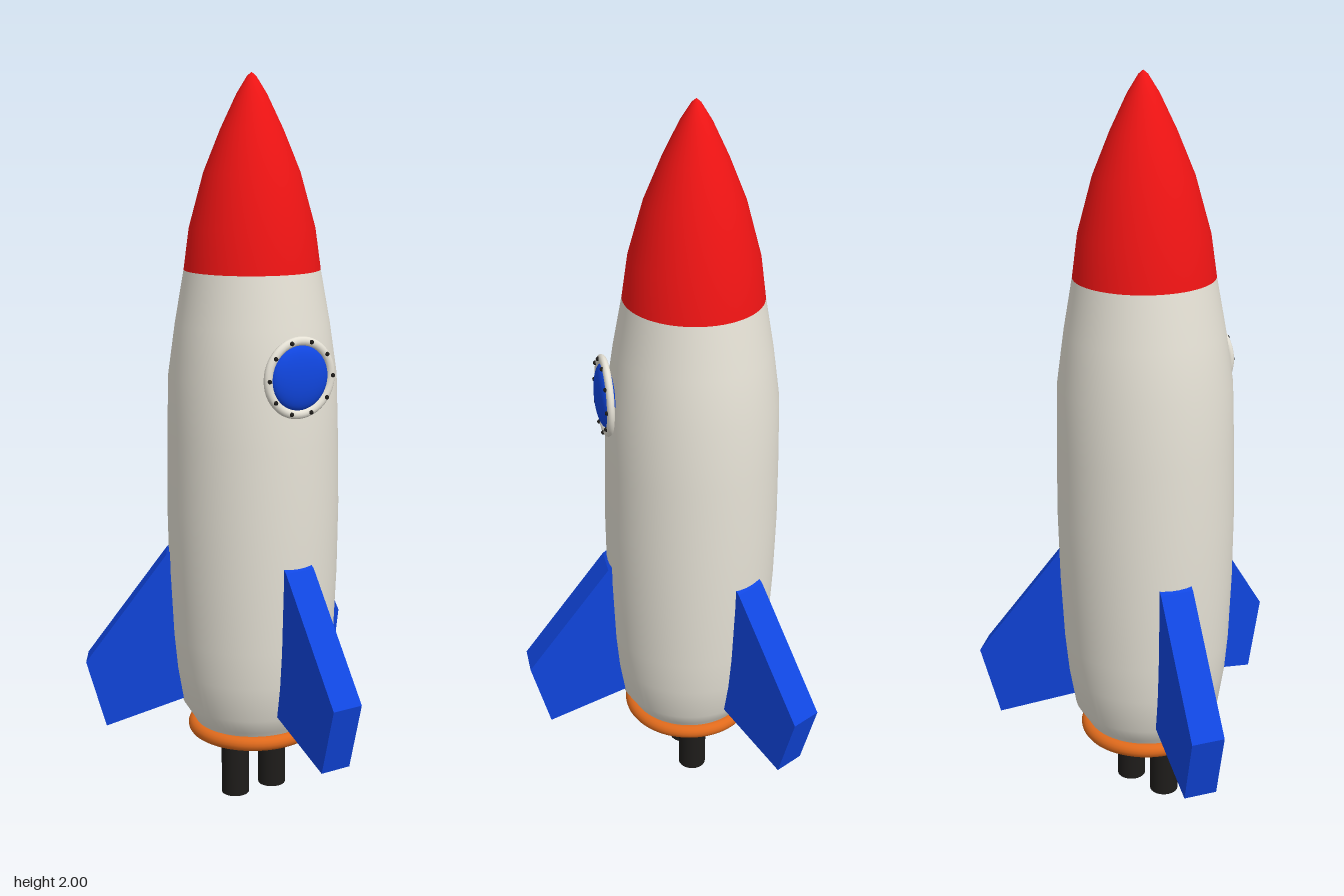
import * as THREE from 'three';

const material = (color) => new THREE.MeshStandardMaterial({ color });

export function createModel() {
  const rocket = new THREE.Group();
  rocket.name = 'rocket';
  // Everything round shares one axis, set back to make room for the front fin
  const hull = new THREE.Group();
  hull.name = 'hull';
  hull.position.z = -0.1;
  rocket.add(hull);

  const white = material(0xe6e2d6);
  const red = material(0xf01414);
  const blue = material(0x1046e0);
  const orange = material(0xe06a1c);
  const black = material(0x1e1c1a);

  const add = (parent, name, geometry, mat, x = 0, y = 0, z = 0) => {
    const mesh = new THREE.Mesh(geometry, mat);
    mesh.name = name;
    mesh.position.set(x, y, z);
    parent.add(mesh);
    return mesh;
  };
  const lathe = (points) =>
    new THREE.LatheGeometry(points.map(([r, y]) => new THREE.Vector2(r, y)), 64);

  // Body with a shallow cone underneath, and nose cone
  add(hull, 'bottomCone', lathe([[0, 0.148], [0.165, 0.205]]), white);
  add(hull, 'body', lathe([
    [0.155, 0.205], [0.172, 0.235], [0.2, 0.28], [0.216, 0.38], [0.225, 0.48], [0.233, 0.66],
    [0.236, 0.85], [0.233, 1.04], [0.228, 1.21], [0.208, 1.35], [0.183, 1.49],
  ]), white);
  add(hull, 'noseCone', lathe([
    [0.183, 1.49], [0.168, 1.6], [0.128, 1.745], [0.083, 1.855], [0.04, 1.945], [0.012, 1.99], [0, 2],
  ]), red);

  // Ring around the base
  add(hull, 'baseRing', new THREE.TorusGeometry(0.165, 0.02, 16, 64).rotateX(Math.PI / 2),
    orange, 0, 0.202, 0);

  // Twin exhaust pipes
  for (const side of [-1, 1]) {
    add(hull, side > 0 ? 'leftExhaust' : 'rightExhaust',
      new THREE.CylinderGeometry(0.039, 0.039, 0.2, 32), black, side * 0.061, 0.1, 0);
  }

  // Three slab fins, drawn as radius against height
  const finShape = new THREE.Shape([
    [0.17, 0.3], [0.415, 0.21], [0.468, 0.4], [0.24, 0.71], [0.22, 0.725], [0.17, 0.725],
  ].map(([r, y]) => new THREE.Vector2(r, y)));
  const finThickness = 0.088;
  const finGeometry = new THREE.ExtrudeGeometry(finShape, { depth: finThickness, bevelEnabled: false });
  finGeometry.translate(0, 0, -finThickness / 2);
  ['frontFin', 'backLeftFin', 'backRightFin'].forEach((name, i) => {
    add(hull, name, finGeometry, blue).rotation.y = -Math.PI / 2 + (i * Math.PI * 2) / 3;
  });

  // Porthole: rim, domed glass and bolts
  const porthole = new THREE.Group();
  porthole.name = 'porthole';
  porthole.position.set(0, 1.23, 0.134);
  rocket.add(porthole);
  add(porthole, 'rim', new THREE.TorusGeometry(0.096, 0.012, 12, 48).scale(1, 1, 0.85), white);
  add(porthole, 'glass', new THREE.SphereGeometry(0.085, 40, 24).scale(1, 1, 0.3), blue);
  const boltCount = 10;
  for (let i = 0; i < boltCount; i++) {
    const a = (i / boltCount) * Math.PI * 2;
    add(porthole, 'bolt', new THREE.SphereGeometry(0.006, 10, 8), black,
      0.097 * Math.cos(a), 0.097 * Math.sin(a), 0.01);
  }

  return rocket;
}
